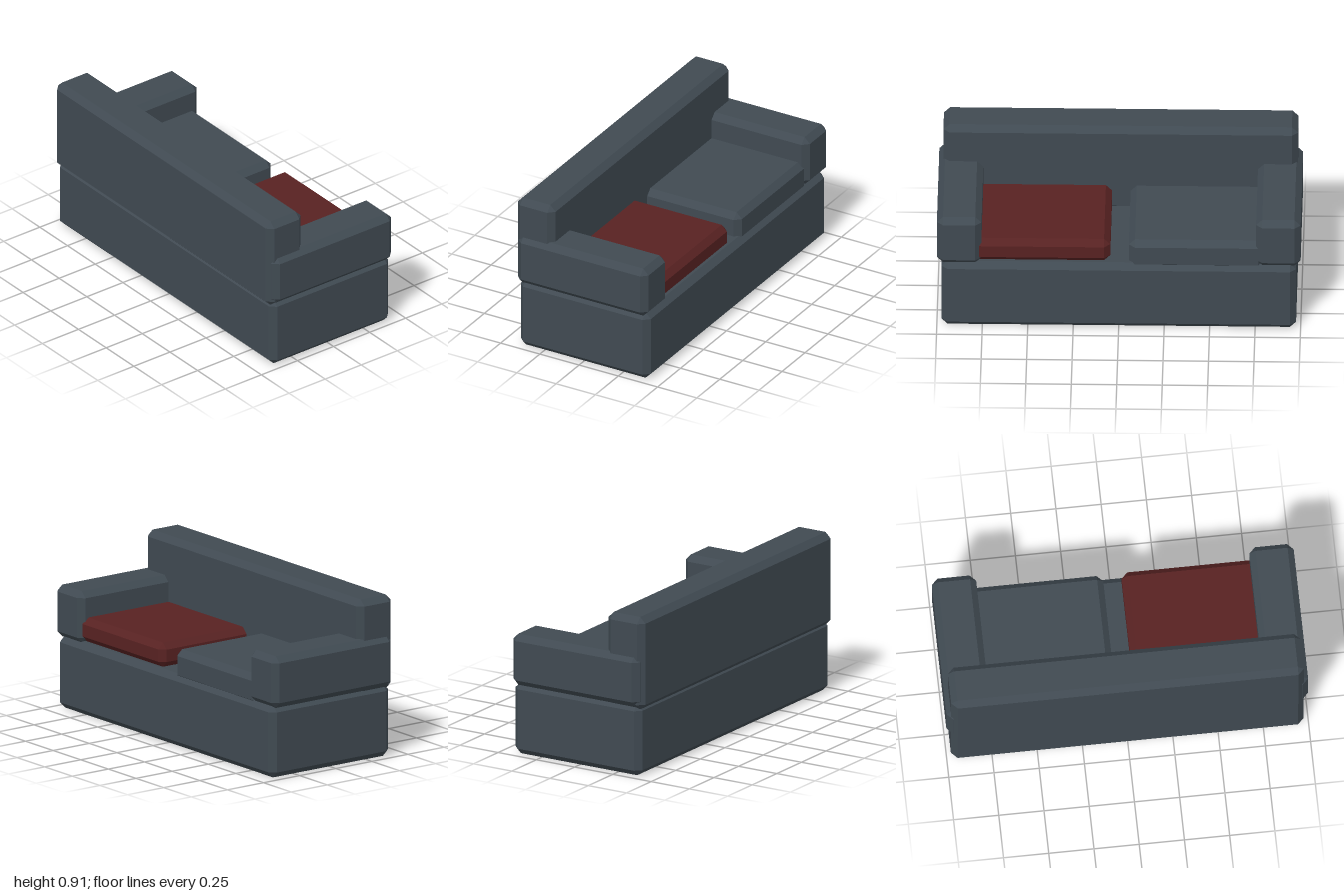
import * as THREE from 'three';
import { ConvexGeometry } from 'three/addons/geometries/ConvexGeometry.js';

// Box between two corners with every edge cut at 45 degrees
function chamferBox(min, max, c) {
  const half = min.map((v, i) => (max[i] - v) / 2);
  const points = [];
  for (const sx of [-1, 1]) for (const sy of [-1, 1]) for (const sz of [-1, 1]) {
    for (let axis = 0; axis < 3; axis++) {
      const p = [sx, sy, sz].map((s, i) => s * (half[i] - (i === axis ? 0 : c)));
      points.push(new THREE.Vector3(...p));
    }
  }
  const geometry = new ConvexGeometry(points);
  geometry.translate(...min.map((v, i) => v + half[i]));
  return geometry;
}

export function createModel() {
  const sofa = new THREE.Group();
  sofa.name = 'sofa';

  const greyFabric = new THREE.MeshStandardMaterial({ color: 0x404a52, flatShading: true });
  greyFabric.name = 'slate grey fabric';
  const redFabric = new THREE.MeshStandardMaterial({ color: 0x582222, flatShading: true });
  redFabric.name = 'dark red fabric';

  const addPart = (name, min, max, material = greyFabric) => {
    const mesh = new THREE.Mesh(chamferBox(min, max, 0.034), material);
    mesh.name = name;
    sofa.add(mesh);
  };

  // Base and backrest; the seat opens towards -z
  addPart('base', [-0.975, 0, -0.423], [0.975, 0.41, 0.405]);
  addPart('backrest', [-0.975, 0.38, 0.184], [0.975, 0.914, 0.425]);

  // Armrests, slightly wider than the base
  addPart('leftArmrest', [0.755, 0.4, -0.423], [1, 0.694, 0.405]);
  addPart('rightArmrest', [-1, 0.4, -0.423], [-0.755, 0.694, 0.405]);

  // Seat cushions, tucked under the arms and backrest
  addPart('redSeatCushion', [0.047, 0.41, -0.403], [0.8, 0.548, 0.24], redFabric);
  addPart('greySeatCushion', [-0.8, 0.37, -0.4], [-0.055, 0.546, 0.24]);

  return sofa;
}
